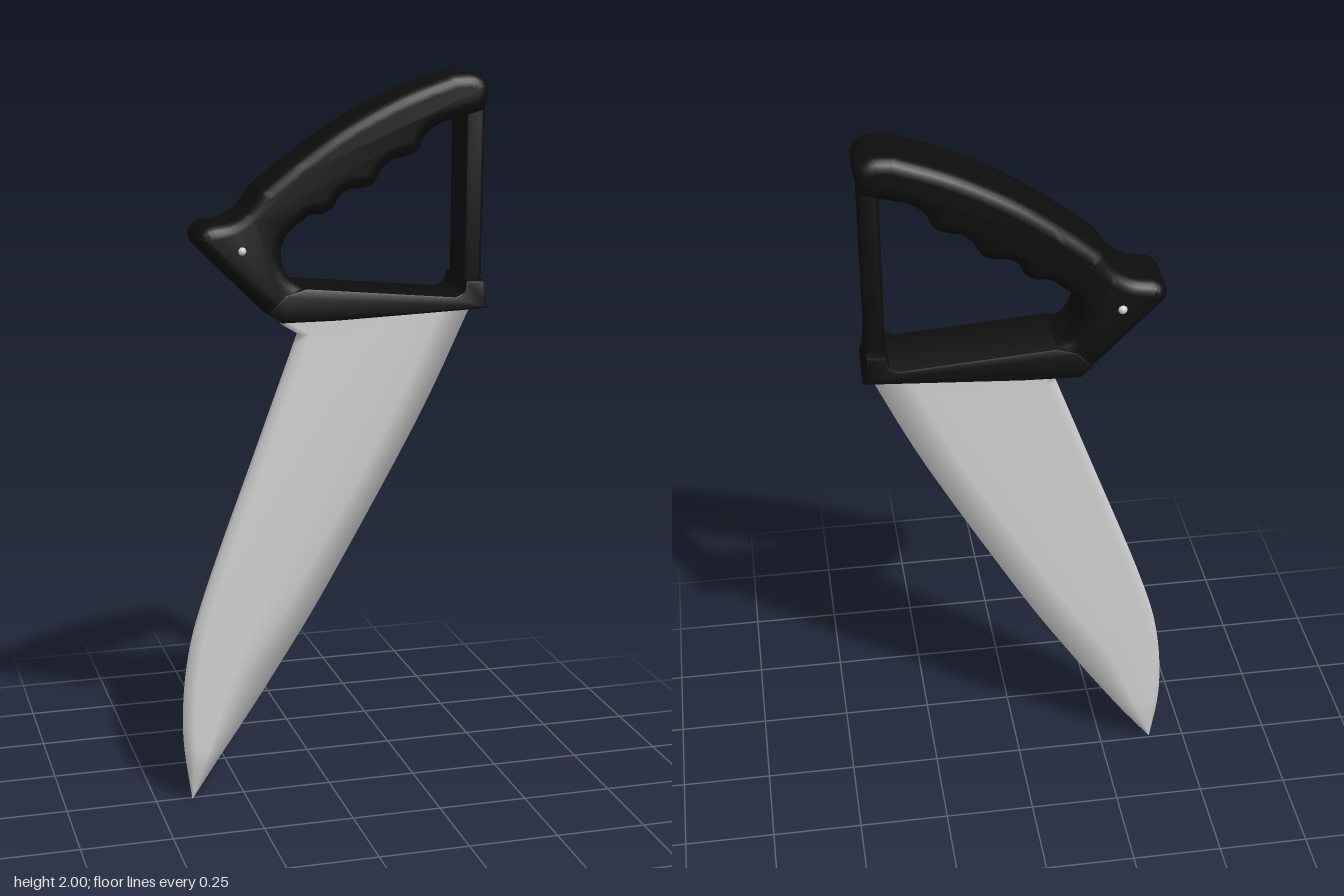
import * as THREE from 'three';
import { toCreasedNormals } from 'three/addons/utils/BufferGeometryUtils.js';

const black = new THREE.MeshStandardMaterial({ color: 0x0d0d0d });
black.name = 'black handle';
const steel = new THREE.MeshStandardMaterial({ color: 0xcfcfcf });
steel.name = 'steel';

const v2 = (pts) => pts.map(([x, y]) => new THREE.Vector2(x, y));

// Rounded slab centred on z = 0 whose silhouette keeps the given outline
function slab(shape, depth, bevel, segments) {
  const geo = new THREE.ExtrudeGeometry(shape, {
    depth: depth - 2 * bevel, bevelEnabled: true, bevelThickness: bevel,
    bevelSize: bevel, bevelOffset: -bevel, bevelSegments: segments, curveSegments: 5,
  });
  geo.translate(0, 0, -depth / 2 + bevel);
  return toCreasedNormals(geo, 0.7);
}

function add(parent, name, geo, mat) {
  const mesh = new THREE.Mesh(geo, mat);
  mesh.name = name;
  parent.add(mesh);
  return mesh;
}

// Grip with a curved back, a pointed heel and finger grooves
function gripShape() {
  const s = new THREE.Shape();
  s.moveTo(-0.15, 1.357);
  s.lineTo(-0.085, 1.41);
  s.lineTo(-0.085, 1.445);
  s.splineThru(v2([[-0.125, 1.475], [-0.146, 1.53], [-0.13, 1.585], [-0.07, 1.635]]));
  s.splineThru(v2([[-0.03, 1.638], [-0.005, 1.655], [0.012, 1.685], [0.04, 1.7]]));
  s.splineThru(v2([[0.08, 1.703], [0.105, 1.715], [0.125, 1.75], [0.155, 1.775]]));
  s.splineThru(v2([[0.2, 1.785], [0.225, 1.8], [0.245, 1.84], [0.285, 1.868]]));
  s.lineTo(0.355, 1.885);
  s.lineTo(0.405, 1.9);
  s.lineTo(0.417, 1.955);
  s.splineThru(v2([[0.405, 1.978], [0.37, 1.996], [0.315, 1.995]]));
  s.splineThru(v2([[0.165, 1.94], [0.01, 1.86], [-0.12, 1.77], [-0.205, 1.703]]));
  s.splineThru(v2([[-0.24, 1.655], [-0.285, 1.625], [-0.345, 1.614], [-0.372, 1.588], [-0.368, 1.56]]));
  s.lineTo(-0.19, 1.38);
  s.closePath();
  return s;
}

// Collar bar between handle and blade, filleted up into the post
function barShape() {
  return new THREE.Shape(v2([
    [-0.15, 1.355], [0, 1.356], [0.418, 1.373], [0.41, 1.395], [0.405, 1.45], [0.355, 1.45],
    [0.348, 1.42], [0.325, 1.408], [-0.085, 1.446], [-0.14, 1.43], [-0.185, 1.385],
  ]));
}

// Blade lofted from spine to edge, ground on the front side only
function bladeGeometry() {
  const curve = (pts) => new THREE.SplineCurve(v2(pts));
  const spine = curve([[-0.09, 1.31], [-0.2, 1.015], [-0.35, 0.61], [-0.405, 0.41], [-0.421, 0.2], [-0.4, 0.003]]);
  const edge = curve([[0.385, 1.325], [0.25, 1.045], [0, 0.6], [-0.14, 0.375], [-0.27, 0.18], [-0.398, 0]]);
  const rows = [[new THREE.Vector2(-0.145, 1.365), new THREE.Vector2(0.41, 1.385)],
    [new THREE.Vector2(-0.135, 1.338), new THREE.Vector2(0.402, 1.36)]];
  const steps = 36;
  for (let i = 0; i <= steps; i++) rows.push([spine.getPoint(i / steps), edge.getPoint(i / steps)]);

  const pos = [], index = [], n = 8;
  for (const [a, b] of rows) {
    const width = a.distanceTo(b);
    const s = Math.min(0.025, width * 0.2) / width;
    const w = Math.min(0.1, width * 0.4) / width;
    const thick = Math.min(1, width / 0.1);
    const section = [[0, 0], [0, 0.032], [s, 0.042], [0.5, 0.043], [1 - w, 0.04],
      [1, -0.004], [1 - w, -0.01], [s, -0.01]];
    for (const [t, z] of section) {
      pos.push(a.x + (b.x - a.x) * t, a.y + (b.y - a.y) * t, 0.008 + (z - 0.008) * thick);
    }
  }
  for (let i = 0; i < rows.length - 1; i++) {
    for (let j = 0; j < n; j++) {
      const a = i * n + j, b = i * n + (j + 1) % n;
      index.push(a, a + n, b, b, a + n, b + n);
    }
  }
  const geo = new THREE.BufferGeometry();
  geo.setAttribute('position', new THREE.Float32BufferAttribute(pos, 3));
  geo.setIndex(index);
  geo.computeVertexNormals();
  return geo;
}

export function createModel() {
  const model = new THREE.Group();
  model.name = 'upright handled knife';

  const handle = new THREE.Group();
  handle.name = 'handle';
  handle.rotation.y = -0.033; // slight twist against the blade
  model.add(handle);

  add(handle, 'grip', slab(gripShape(), 0.194, 0.035, 5), black);
  add(handle, 'collarBar', slab(barShape(), 0.2, 0.007, 2), black);

  // Slimmer upright post closing the handle loop
  const post = new THREE.Shape(v2([[0.355, 1.39], [0.405, 1.39], [0.408, 1.94], [0.355, 1.94]]));
  add(handle, 'post', slab(post, 0.14, 0.01, 3), black);

  // Pin through the heel with domed ends
  const pin = add(handle, 'pin', new THREE.CapsuleGeometry(0.012, 0.188, 6, 16), steel);
  pin.rotation.x = Math.PI / 2;
  pin.position.set(-0.255, 1.55, -0.002);

  add(model, 'blade', bladeGeometry(), steel);
  return model;
}
